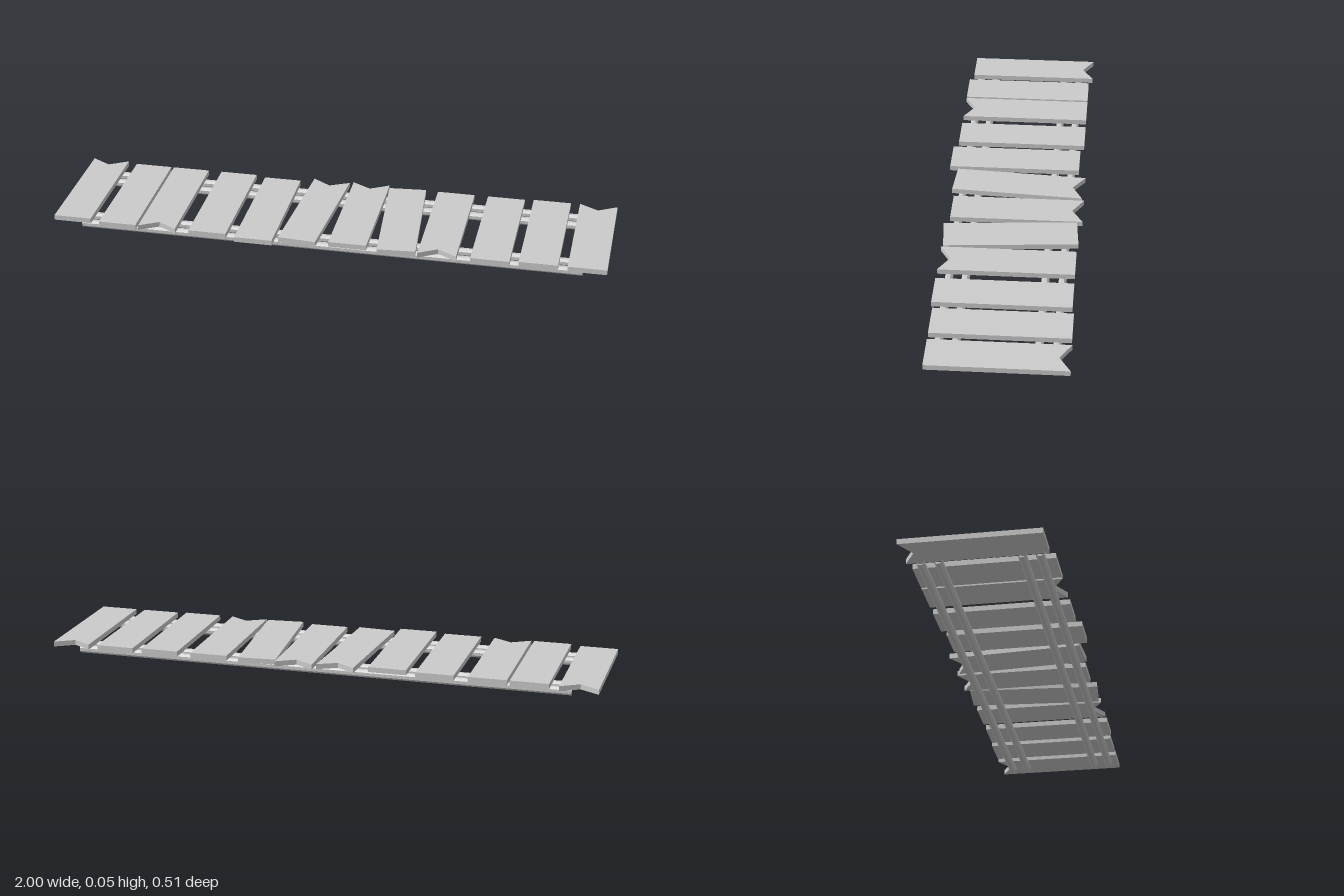
import * as THREE from 'three';

const WIDTH = 0.137, TOP = 0.048, THICK = 0.0185, NOTCH = 0.04;

export function createModel() {
  const group = new THREE.Group();
  group.name = 'plankWalkway';
  const material = new THREE.MeshStandardMaterial({ color: 0xcccccc, flatShading: true });

  // One plank: a board outline with an optional V notch broken out of either end
  function addPlank([x, zBack, zFront, broken = '', turn = 0], i) {
    const w = WIDTH / 2;
    const shape = new THREE.Shape();
    shape.moveTo(-w, zBack);
    if (broken === 'back') shape.lineTo(0, zBack + NOTCH);
    shape.lineTo(w, zBack);
    shape.lineTo(w, zFront);
    if (broken === 'front') shape.lineTo(0, zFront - NOTCH);
    shape.lineTo(-w, zFront);
    shape.closePath();
    const geometry = new THREE.ExtrudeGeometry(shape, { depth: THICK, bevelEnabled: false });
    geometry.rotateX(Math.PI / 2);
    const plank = new THREE.Mesh(geometry, material);
    plank.name = `plank${i + 1}`;
    plank.position.set(x, TOP, 0);
    plank.rotation.y = turn;
    group.add(plank);
  }

  // Planks: centre x, back z, front z, broken end, turn
  [
    [-0.932, -0.254, 0.221, 'back'],
    [-0.759, -0.24, 0.236],
    [-0.612, -0.24, 0.236, 'front'],
    [-0.425, -0.24, 0.236],
    [-0.252, -0.227, 0.253],
    [-0.084, -0.25, 0.227, 'back', -0.067],
    [0.083, -0.254, 0.221, 'back'],
    [0.242, -0.24, 0.235, '', 0.08],
    [0.405, -0.24, 0.236, 'front'],
    [0.592, -0.24, 0.236],
    [0.761, -0.246, 0.229],
    [0.931, -0.249, 0.229, 'back'],
  ].forEach(addPlank);

  // Four long ropes under the planks, in two pairs, open at the ends
  const r = 0.0145;
  const ropeGeometry = new THREE.CylinderGeometry(r, r, 1.815, 8, 1, true);
  ropeGeometry.rotateY(Math.PI / 8).rotateZ(Math.PI / 2);
  [-0.198, -0.139, 0.136, 0.194].forEach((z, i) => {
    const rope = new THREE.Mesh(ropeGeometry, material);
    rope.name = `supportRope${i + 1}`;
    rope.position.set(0.006, r, z);
    group.add(rope);
  });

  return group;
}
